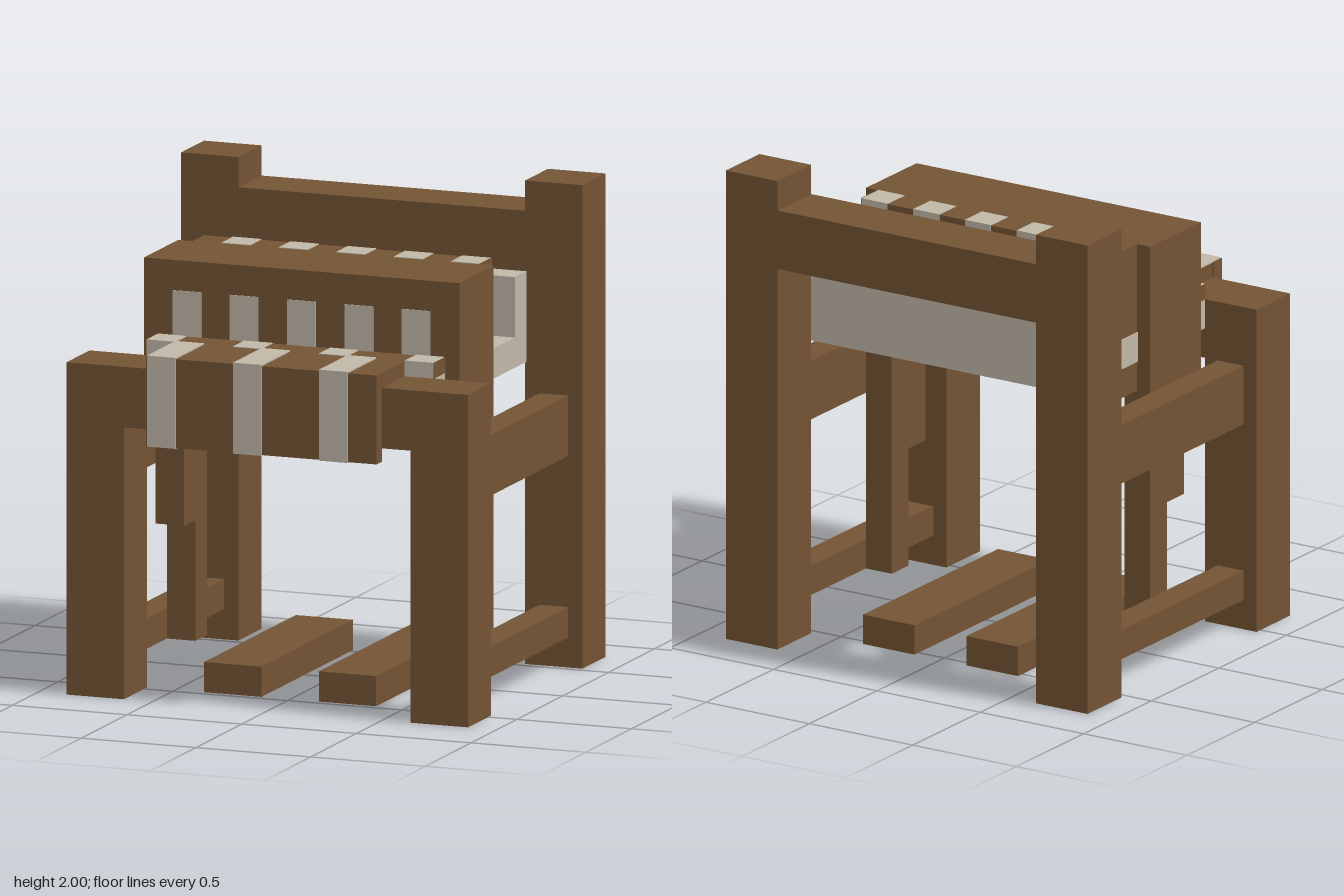
import * as THREE from 'three';

export function createModel() {
  const root = new THREE.Group();
  root.name = 'weavingLoom';
  const wood = new THREE.MeshStandardMaterial({ color: 0x735334 });
  wood.name = 'brown wood';
  const thread = new THREE.MeshStandardMaterial({ color: 0xc0b7a7 });
  thread.name = 'pale thread';

  // Box given by its lower and upper limits on each axis
  const box = (name, mat, [x0, x1], [y0, y1], [z0, z1]) => {
    const mesh = new THREE.Mesh(new THREE.BoxGeometry(x1 - x0, y1 - y0, z1 - z0), mat);
    mesh.position.set((x0 + x1) / 2, (y0 + y1) / 2, (z0 + z1) / 2);
    mesh.name = name;
    root.add(mesh);
  };
  // The same box on the left and on the right
  const pair = (name, mat, [x0, x1], y, z) => {
    box(name + 'Left', mat, [x0, x1], y, z);
    box(name + 'Right', mat, [-x1, -x0], y, z);
  };
  const E = 0.003; // thickness of painted stripes

  // Frame
  pair('frontPost', wood, [0.625, 0.875], [0, 1.375], [0.47, 0.72]);
  pair('backPost', wood, [0.625, 0.875], [0, 2], [-0.78, -0.53]);
  pair('upperRail', wood, [0.6875, 0.8125], [0.875, 1.125], [-0.53, 0.47]);
  pair('lowerRail', wood, [0.6875, 0.8125], [0.125, 0.25], [-0.53, 0.47]);
  box('backBeam', wood, [-0.625, 0.625], [1.625, 1.875], [-0.78, -0.53]);
  box('frontBeam', wood, [-0.625, 0.625], [1.125, 1.375], [0.47, 0.72]);

  // Pedals and the arms carrying the beater
  pair('pedal', wood, [0.125, 0.375], [0, 0.125], [-0.53, 0.47]);
  pair('beaterArm', wood, [0.5625, 0.6875], [0.625, 1.125], [-0.03, 0.22]);
  pair('beaterLeg', wood, [0.5625, 0.6875], [0.125, 0.625], [-0.03, 0.095]);

  // Beater with pale slots on its front
  box('beater', wood, [-0.6875, 0.6875], [1.125, 1.75], [-0.03, 0.345]);
  for (let i = -2; i <= 2; i++) {
    box('beaterSlot', thread, [i * 0.25 - 0.0625, i * 0.25 + 0.0625], [1.375, 1.625], [0.345, 0.345 + E]);
  }

  // Heddle behind the beater, striped on top, back and underside
  box('heddle', wood, [-0.625, 0.625], [1.125, 1.75], [-0.155, -0.03]);
  for (let i = -2; i <= 2; i++) {
    const x = [i * 0.25, i * 0.25 + 0.125];
    box('heddleStripe', thread, x, [1.125 - E, 1.75 + E], [-0.155 - E, -0.031]);
  }
  box('heddleEndCap', wood, [0.625, 0.625 + E], [1.125 - E, 1.75 + E], [-0.155 - E, -0.03]);

  // Warp threads, turned up at the back beam
  box('backWarp', thread, [-0.63, 0.63], [1.25, 1.375], [-0.53, -0.03]);
  box('warpUpturn', thread, [-0.63, 0.63], [1.375, 1.625], [-0.53, -0.405]);
  box('frontWarp', thread, [-0.625, 0.625], [1.25, 1.375], [0.345, 0.47]);

  // Woven edge above the front warp
  box('wovenEdge', wood, [-0.625, 0.625], [1.375, 1.4375], [0.345, 0.47]);
  for (const x of [-0.625, -0.25, 0.125, 0.5]) {
    box('wovenEdgeStripe', thread, [x, x + 0.125], [1.375, 1.4375 + E], [0.346, 0.47 + E]);
  }
  pair('wovenEdgeSide', wood, [0.625, 0.625 + E], [1.375, 1.4375 + E], [0.345, 0.47]);

  // Cloth folded over the front beam
  box('clothTop', wood, [-0.5, 0.5], [1.375, 1.4375], [0.47, 0.78]);
  box('clothFront', wood, [-0.5, 0.5], [1.07, 1.375], [0.72, 0.78]);
  box('clothBackFlap', wood, [-0.5, 0.5], [1.19, 1.25], [0.41, 0.47]);
  for (const x of [-0.5, -0.125, 0.25]) {
    const span = [x, x + 0.125];
    box('clothTopStripe', thread, span, [1.4375, 1.4375 + 2 * E], [0.47, 0.78 + E]);
    box('clothFrontStripe', thread, span, [1.07 - E, 1.4375], [0.721, 0.78 + E]);
  }
  box('clothSide', wood, [-0.5 - E, -0.5], [1.07 - E, 1.4375 + E], [0.72, 0.78 + E]);
  return root;
}
